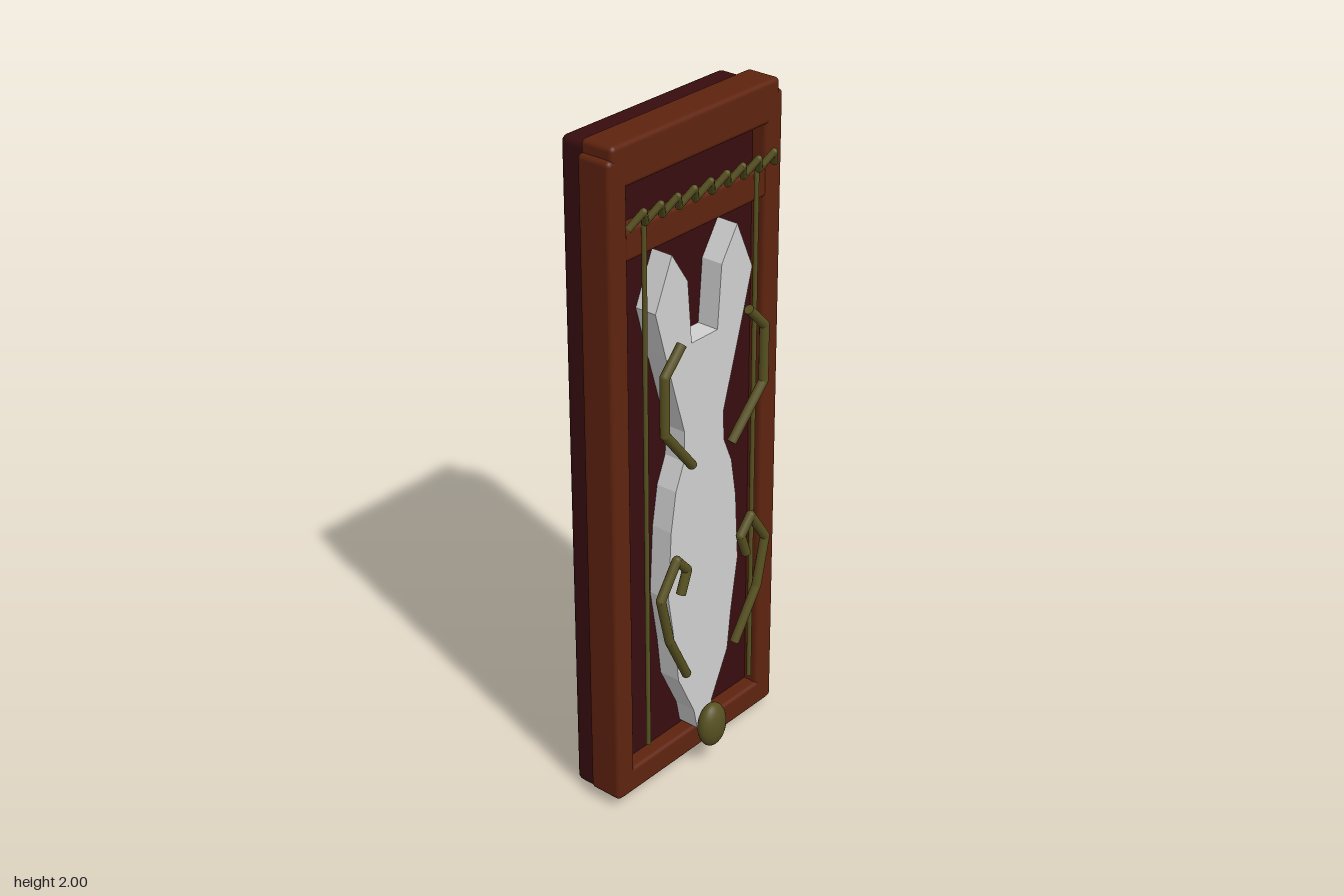
import * as THREE from 'three';
import { RoundedBoxGeometry } from 'three/addons/geometries/RoundedBoxGeometry.js';
import { mergeGeometries } from 'three/addons/utils/BufferGeometryUtils.js';

const material = (name, color) => {
  const m = new THREE.MeshStandardMaterial({ color });
  m.name = name;
  return m;
};

// Rounded slab from its lower and upper corners
function slab(name, min, max, radius, mat) {
  const a = new THREE.Vector3(...min), b = new THREE.Vector3(...max);
  const s = b.clone().sub(a), c = a.add(b).multiplyScalar(0.5);
  const mesh = new THREE.Mesh(new RoundedBoxGeometry(s.x, s.y, s.z, 3, radius), mat);
  mesh.position.copy(c);
  mesh.name = name;
  return mesh;
}

// Chain of straight rods joined by small balls
function rods(name, points, radius, mat) {
  const p = points.map((v) => new THREE.Vector3(...v));
  const parts = [];
  for (let i = 0; i < p.length - 1; i++) {
    const d = p[i + 1].clone().sub(p[i]);
    const g = new THREE.CylinderGeometry(radius, radius, d.length(), 12);
    g.applyQuaternion(new THREE.Quaternion().setFromUnitVectors(
      new THREE.Vector3(0, 1, 0), d.clone().normalize()));
    const mid = p[i].clone().add(p[i + 1]).multiplyScalar(0.5);
    parts.push(g.translate(mid.x, mid.y, mid.z));
    if (i > 0) parts.push(new THREE.SphereGeometry(radius, 12, 8).translate(p[i].x, p[i].y, p[i].z));
  }
  const mesh = new THREE.Mesh(mergeGeometries(parts), mat);
  mesh.name = name;
  return mesh;
}

export function createModel() {
  const group = new THREE.Group();
  group.name = 'framedPanel';
  const darkWood = material('darkWood', 0x380d0f);
  const frameWood = material('frameWood', 0x5e230e);
  const paleGrey = material('paleGrey', 0xd0d0d0);
  const olive = material('olive', 0x575020);

  // Back board
  group.add(slab('backBoard', [-0.314, 0, -0.14], [0.314, 1.985, 0.005], 0.02, darkWood));

  // Frame
  const zb = -0.056, zf = 0.052;
  group.add(slab('topRail', [-0.33, 1.88, zb], [0.33, 2, zf], 0.014, frameWood));
  group.add(slab('middleRail', [-0.3, 1.675, zb], [0.3, 1.765, zf - 0.005], 0.012, frameWood));
  group.add(slab('bottomRail', [-0.33, 0.03, zb], [0.33, 0.11, zf], 0.012, frameWood));
  for (const s of [-1, 1]) {
    const x = s * 0.309;
    group.add(slab(s > 0 ? 'leftStile' : 'rightStile',
      [x - 0.035, 0.03, zb], [x + 0.035, 1.965, zf], 0.014, frameWood));
  }

  // Flat animal silhouette, mirrored half outline
  const half = [
    [0.053, 1.375], [0.069, 1.56], [0.132, 1.655], [0.197, 1.51], [0.16, 1.38],
    [0.082, 1.12], [0.084, 1.03], [0.118, 0.95], [0.138, 0.83], [0.15, 0.62], [0.122, 0.45],
    [0.108, 0.33], [0.04, 0.19], [0.025, 0.12],
  ];
  const outline = [...half, ...half.slice().reverse().map(([x, y]) => [-x, y])];
  const body = new THREE.Mesh(
    new THREE.ExtrudeGeometry(new THREE.Shape(outline.map((p) => new THREE.Vector2(...p))),
      { depth: 0.07, bevelEnabled: false }), paleGrey);
  body.position.z = 0.002;
  body.name = 'silhouette';
  group.add(body);

  // Zigzag row across the top
  const zigzag = [];
  for (let i = 0; i <= 18; i++) {
    const up = i % 2;
    zigzag.push([(i - 9) * 0.0324, up ? 1.822 : 1.777, up ? 0.09 : 0.066]);
  }
  group.add(rods('zigzag', zigzag, 0.01, olive));

  // Hanging cords and limbs on both sides
  const upper = [[0.138, 1.415, 0.11], [0.206, 1.345, 0.11], [0.206, 1.175, 0.11], [0.083, 1.03, 0.1]];
  const lower = [[0.142, 0.652, 0.11], [0.116, 0.72, 0.11], [0.159, 0.768, 0.11],
    [0.226, 0.67, 0.11], [0.19, 0.52, 0.11], [0.106, 0.365, 0.1]];
  for (const s of [-1, 1]) {
    const side = s > 0 ? 'left' : 'right';
    const flip = (pts) => pts.map(([x, y, z]) => [s * x, y, z]);
    group.add(rods(side + 'Cord', flip([[0.225, 0.17, 0.06], [0.225, 1.78, 0.06]]), 0.007, olive));
    group.add(rods(side + 'UpperLimb', flip(upper), 0.014, olive));
    group.add(rods(side + 'LowerLimb', flip(lower), 0.014, olive));
  }

  // Oval knob at the bottom
  const knob = new THREE.Mesh(new THREE.SphereGeometry(1, 24, 16), olive);
  knob.scale.set(0.051, 0.071, 0.034);
  knob.position.set(0, 0.137, 0.106);
  knob.name = 'knob';
  group.add(knob);

  return group;
}
